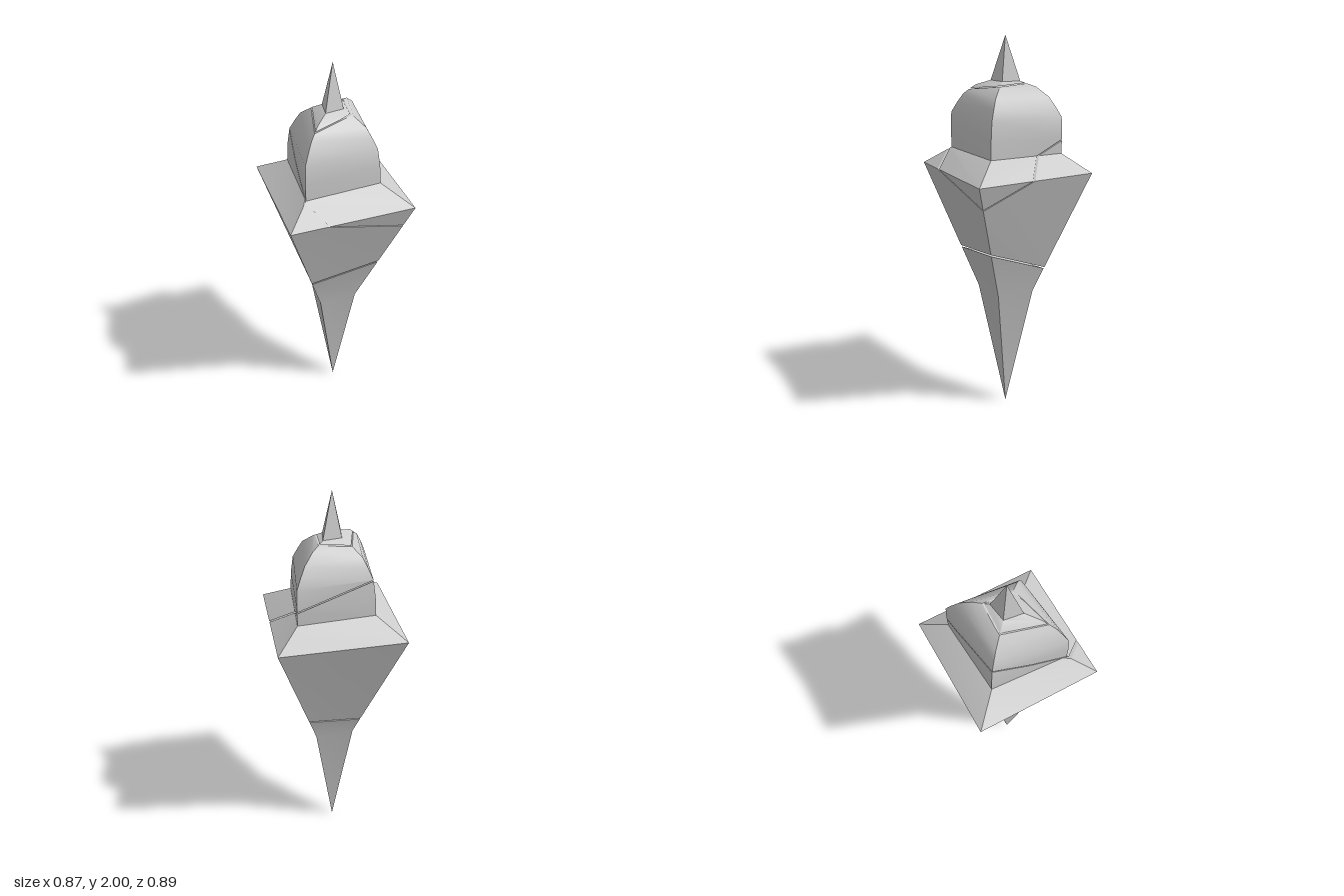
import * as THREE from 'three';
import { toCreasedNormals, mergeGeometries } from 'three/addons/utils/BufferGeometryUtils.js';

// Four-cornered outline from the bottom point to the spike: [y, half width x, half depth z]
const PROFILE = [
  [0, 0, 0], [0.69, 0.133, 0.15], [1.35, 0.433, 0.443], [1.44, 0.25, 0.287],
  [1.53, 0.245, 0.288], [1.62, 0.23, 0.284], [1.67, 0.2, 0.252], [1.715, 0.17, 0.218],
  [1.76, 0.105, 0.155], [1.785, 0.055, 0.075], [2, 0, 0],
];

// Slanted cracks y = a + b x + c z, with half the gap
const CRACKS = [
  { a: 0.862, b: 0.395, c: 0.17, gap: 0.004 },
  { a: 1.47, b: -0.634, c: -0.13, gap: 0.003 },
  { a: 1.7625, b: 0.045, c: -0.125, gap: 0.002 },
];
const NAMES = ['lowerCone', 'upperCone', 'dome', 'spikeCap'];

function bodyFaces() {
  const corner = ([y, x, z], k) => new THREE.Vector3([x, 0, -x, 0][k % 4], y, [0, z, 0, -z][k % 4]);
  const faces = [];
  for (let i = 0; i < PROFILE.length - 1; i++) {
    const [lo, hi] = [PROFILE[i], PROFILE[i + 1]];
    for (let k = 0; k < 4; k++) {
      const face = [corner(lo, k), corner(hi, k)];
      if (hi[1] > 0) face.push(corner(hi, k + 1));
      if (lo[1] > 0) face.push(corner(lo, k + 1));
      faces.push(face);
    }
  }
  return faces;
}

// Keeps the part of each face on one side of a crack and collects the cut points
function clip(faces, crack, side) {
  const height = p => side * (p.y - crack.a - crack.b * p.x - crack.c * p.z) - crack.gap;
  const cut = [];
  const kept = faces.map(face => {
    const out = [];
    face.forEach((p, i) => {
      const q = face[(i + 1) % face.length];
      const hp = height(p), hq = height(q);
      if (hp >= 0) out.push(p);
      if (hp * hq < 0) {
        const m = p.clone().lerp(q, hp / (hp - hq));
        out.push(m);
        cut.push(m);
      }
    });
    return out;
  }).filter(face => face.length > 2);
  return { kept, cut };
}

function toGeometry(faces) {
  const points = [];
  for (const f of faces)
    for (let i = 1; i < f.length - 1; i++) points.push(f[0], f[i], f[i + 1]);
  return new THREE.BufferGeometry().setFromPoints(points);
}

// Closes a cut with a fan of triangles around its middle
function capGeometry(cut, facesUp) {
  const ring = [...cut].sort((p, q) => Math.atan2(p.z, p.x) - Math.atan2(q.z, q.x));
  const middle = new THREE.Vector3();
  ring.forEach(p => middle.addScaledVector(p, 1 / ring.length));
  const fan = ring.map((p, i) => {
    const q = ring[(i + 1) % ring.length];
    return facesUp ? [middle, q, p] : [middle, p, q];
  });
  const geometry = toGeometry(fan);
  geometry.computeVertexNormals();
  return geometry;
}

export function createModel() {
  const group = new THREE.Group();
  group.name = 'crackedSpire';
  const stone = new THREE.MeshStandardMaterial({ color: 0xcccccc });
  stone.name = 'pale grey stone';

  // Split the body at each crack into closed shards
  let rest = bodyFaces();
  let restCap = null;
  NAMES.forEach((name, i) => {
    let faces = rest;
    const caps = restCap ? [restCap] : [];
    if (i < CRACKS.length) {
      const below = clip(rest, CRACKS[i], -1);
      const above = clip(rest, CRACKS[i], 1);
      faces = below.kept;
      caps.push(capGeometry(below.cut, true));
      rest = above.kept;
      restCap = capGeometry(above.cut, false);
    }
    const shell = toCreasedNormals(toGeometry(faces), 0.6);
    const mesh = new THREE.Mesh(mergeGeometries([shell, ...caps]), stone);
    mesh.name = name;
    group.add(mesh);
  });
  return group;
}
